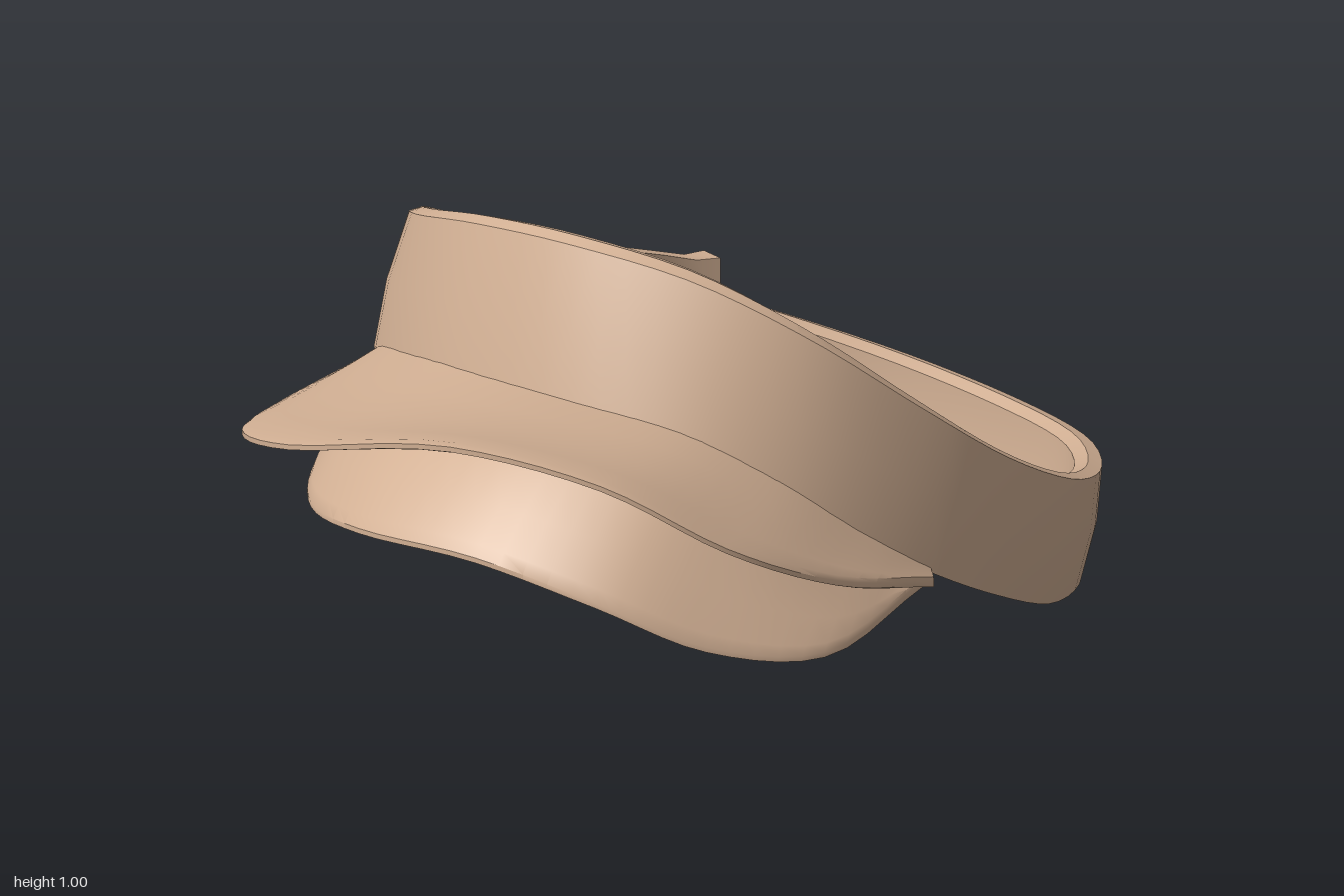
import * as THREE from 'three';
import { toCreasedNormals } from 'three/addons/utils/BufferGeometryUtils.js';

const V = (x, y, z) => new THREE.Vector3(x, y, z);
const tan = new THREE.MeshStandardMaterial({ color: 0xd2b094 });
tan.name = 'tan fabric';

// Headband, front centre -> left -> back -> right: top edge xyz, bottom edge xyz
const BAND = [
  [-0.07, 0.99, 0.46, 0.0, 0.66, 0.59],
  [0.2, 0.95, 0.455, 0.24, 0.62, 0.57],
  [0.43, 0.835, 0.385, 0.45, 0.48, 0.45],
  [0.6, 0.655, 0.22, 0.62, 0.3, 0.22],
  [0.705, 0.495, 0.03, 0.685, 0.19, 0.03],
  [0.74, 0.36, -0.22, 0.7, 0.09, -0.2],
  [0.695, 0.285, -0.46, 0.655, 0.04, -0.45],
  [0.55, 0.235, -0.72, 0.515, 0.01, -0.7],
  [0.31, 0.21, -0.91, 0.3, 0.005, -0.89],
  [0.03, 0.235, -0.985, 0.03, 0.03, -0.96],
  [-0.25, 0.3, -0.945, -0.25, 0.08, -0.92],
  [-0.47, 0.4, -0.79, -0.47, 0.17, -0.79],
  [-0.62, 0.54, -0.57, -0.62, 0.28, -0.57],
  [-0.68, 0.685, -0.27, -0.725, 0.4, -0.27],
  [-0.635, 0.795, -0.02, -0.7, 0.5, 0.0],
  [-0.515, 0.885, 0.2, -0.6, 0.57, 0.2],
  [-0.32, 0.96, 0.365, -0.34, 0.64, 0.46],
];

// Brims, right -> left: root xyz, outer edge xyz
const UPPER = [
  [-0.68, 0.5, 0.04, -0.7, 0.5, 0.08],
  [-0.62, 0.57, 0.16, -0.75, 0.51, 0.4],
  [-0.5, 0.63, 0.31, -0.71, 0.56, 0.65],
  [-0.33, 0.68, 0.45, -0.5, 0.65, 0.89],
  [-0.02, 0.7, 0.57, -0.1, 0.75, 0.995],
  [0.22, 0.665, 0.55, 0.22, 0.705, 0.965],
  [0.4, 0.56, 0.46, 0.44, 0.555, 0.83],
  [0.54, 0.41, 0.32, 0.57, 0.415, 0.58],
  [0.62, 0.31, 0.22, 0.635, 0.3, 0.24],
];
const LOWER = [
  [-0.66, 0.485, 0.06, -0.67, 0.45, 0.12],
  [-0.59, 0.565, 0.17, -0.66, 0.405, 0.4],
  [-0.47, 0.625, 0.31, -0.58, 0.405, 0.6],
  [-0.32, 0.67, 0.43, -0.4, 0.44, 0.77],
  [-0.02, 0.69, 0.55, -0.1, 0.46, 0.865],
  [0.21, 0.655, 0.535, 0.16, 0.4, 0.855],
  [0.385, 0.55, 0.45, 0.36, 0.3, 0.755],
  [0.53, 0.395, 0.31, 0.54, 0.25, 0.57],
  [0.61, 0.305, 0.22, 0.62, 0.305, 0.25],
];

const curves = (rows, closed) => [0, 3].map(
  (k) => new THREE.CatmullRomCurve3(rows.map((r) => V(r[k], r[k + 1], r[k + 2])), closed));

// Skins a row of cross-section loops; open rows get end caps
function loft(name, rings, closed) {
  const n = rings[0].length, count = rings.length, tris = [];
  for (let i = 0; i < (closed ? count : count - 1); i++) {
    const a = rings[i], b = rings[(i + 1) % count];
    for (let j = 0; j < n; j++) {
      const k = (j + 1) % n;
      tris.push([a[j], b[j], b[k]], [a[j], b[k], a[k]]);
    }
  }
  if (!closed) {
    const a = rings[0], b = rings[count - 1];
    for (let j = 0; j < n >> 1; j++) {
      const k = n - 1 - j;
      if (k - j < 2) continue;
      tris.push([a[j], a[j + 1], a[k - 1]], [a[j], a[k - 1], a[k]]);
      tris.push([b[j], b[k - 1], b[j + 1]], [b[j], b[k], b[k - 1]]);
    }
  }
  // a negative enclosed volume means the faces point inwards
  let volume = 0;
  for (const [p, q, r] of tris) volume += p.dot(q.clone().cross(r));
  const points = tris.flatMap(([p, q, r]) => (volume < 0 ? [p, r, q] : [p, q, r]));
  const geometry = new THREE.BufferGeometry().setFromPoints(points);
  const mesh = new THREE.Mesh(toCreasedNormals(geometry, 0.6), tan);
  mesh.name = name;
  return mesh;
}

const [bandTop, bandBottom] = curves(BAND, true);

// Band section at t: heights lo..hi (0 bottom, 1 top), depths measured inwards
function bandSection(t, lo, hi, outer, inner) {
  const u = ((t % 1) + 1) % 1;
  const T = bandTop.getPoint(u), B = bandBottom.getPoint(u);
  const inward = V(0.01 - T.x, 0, -0.22 - T.z).normalize();
  const at = (h, d) => B.clone().lerp(T, h).addScaledVector(inward, d);
  const mid = (lo + hi) / 2, centre = (outer + inner) / 2;
  const rim = at(hi, centre);
  rim.y += 0.01;
  // the inner wall stops a little above the outer one
  return [at(lo, outer), at(mid, outer - 0.01), at(hi, outer), rim,
    at(hi, inner), at(mid, inner - 0.008), at(lo + 0.12, inner), at(lo + 0.02, centre)];
}

// Curved sheet between a root and an outer edge, arched by bulge
function brim(name, rows, bulge, thickness) {
  const [root, edge] = curves(rows, false);
  const rings = [];
  for (let i = 0; i <= 40; i++) {
    const s = i / 40, R = root.getPoint(s), E = edge.getPoint(s);
    const top = [0, 0.25, 0.5, 0.75, 0.95, 1].map((v) => {
      const p = R.clone().lerp(E, v);
      p.y += bulge * Math.sin(Math.PI * v) * Math.sin(Math.PI * s);
      if (v === 1) p.y -= thickness * 0.3;
      return p;
    });
    const under = top.map((p) => V(p.x, p.y - thickness * (p === top[5] ? 0.5 : 1), p.z));
    rings.push([...top, ...under.reverse()]);
  }
  return loft(name, rings, false);
}

export function createModel() {
  const model = new THREE.Group();
  model.name = 'sunVisor';

  // Headband
  const ringAt = (from, to, steps, ...section) => Array.from({ length: steps },
    (_, i) => bandSection(from + ((to - from) * i) / (steps - 1), ...section));
  model.add(loft('headband', ringAt(0, 71 / 72, 72, 0, 1, 0, 0.056), true));

  // Sweatband inside the front, ending in a step on each side
  model.add(loft('sweatband', ringAt(-5.6 / 17, 4.2 / 17, 44, 0.03, 0.55, 0.046, 0.066), false));

  // Brims
  model.add(brim('upperBrim', UPPER, -0.015, 0.022));
  model.add(brim('lowerBrim', LOWER, 0.03, 0.022));

  // Loose strap end at the back: centre xyz, half height, half thickness
  const tail = [
    [-0.6, 0.5, -0.59, 0.035, 0.012],
    [-0.535, 0.435, -0.73, 0.035, 0.016],
    [-0.465, 0.375, -0.88, 0.035, 0.016],
    [-0.425, 0.345, -0.945, 0.038, 0.02],
    [-0.395, 0.33, -0.985, 0.05, 0.026],
  ].map(([x, y, z, h, w]) => [[-1, -1], [-1, 1], [1, 1], [1, -1]].map(
    ([a, b]) => V(x + a * w * 0.9, y + b * h, z + a * w * 0.45)));
  model.add(loft('strapEnd', tail, false));

  return model;
}
